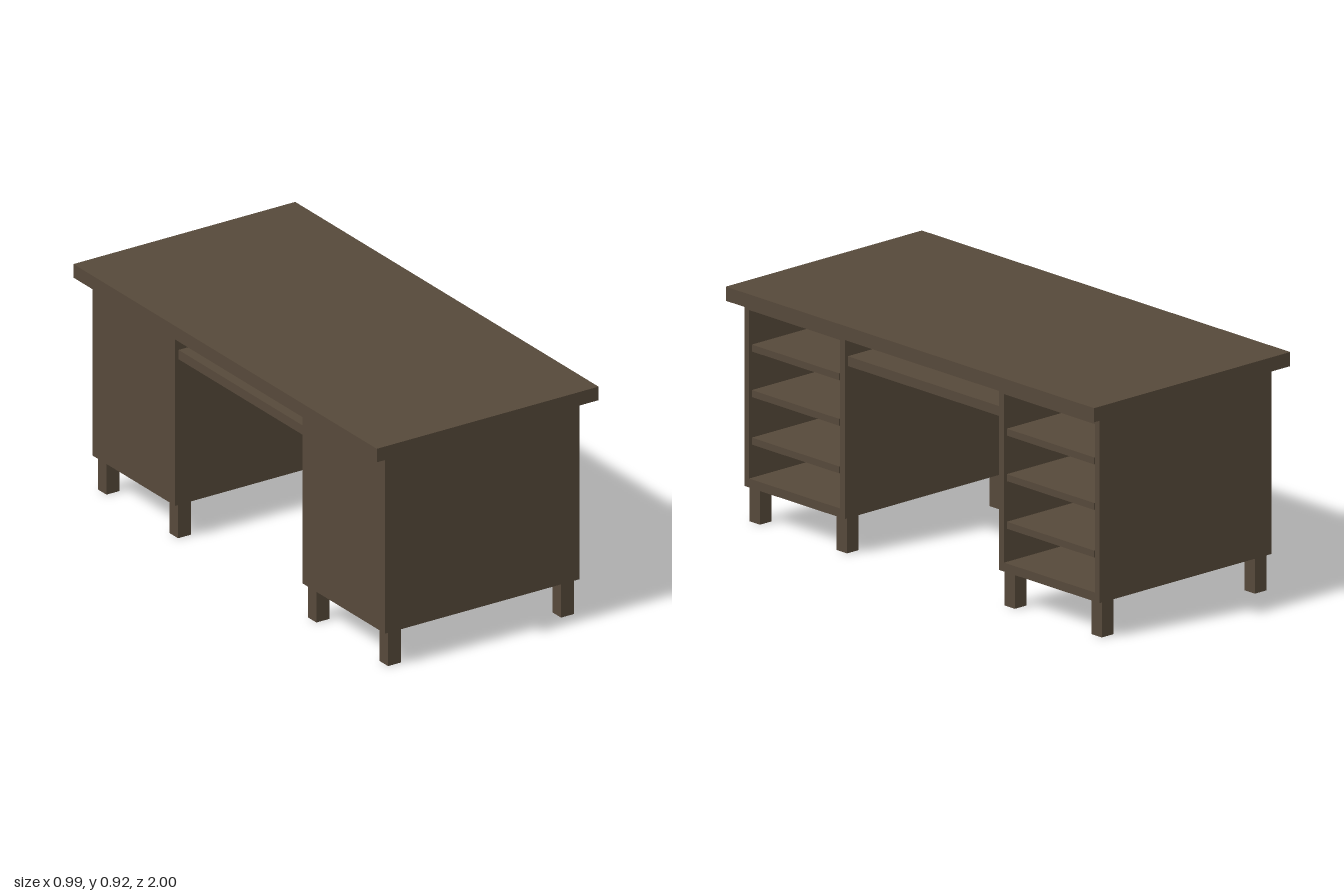
import * as THREE from 'three';

const wood = new THREE.MeshStandardMaterial({ color: 0x56493a });
wood.name = 'dark brown wood';

// Box given by its limits on each axis
function slab(name, [x0, x1], [y0, y1], [z0, z1]) {
  const mesh = new THREE.Mesh(new THREE.BoxGeometry(x1 - x0, y1 - y0, z1 - z0), wood);
  mesh.name = name;
  mesh.position.set((x0 + x1) / 2, (y0 + y1) / 2, (z0 + z1) / 2);
  return mesh;
}

// Hollow cabinet open toward +x, with shelves and four legs
function pedestal(name) {
  const g = new THREE.Group();
  g.name = name;
  const depth = 0.87, back = 0.025, halfW = 0.273, y0 = 0.14, y1 = 0.865;

  // Rectangular ring swept along x makes the four walls
  const ring = new THREE.Shape();
  ring.moveTo(-halfW, y0).lineTo(halfW, y0).lineTo(halfW, y1).lineTo(-halfW, y1).closePath();
  const hole = new THREE.Path();
  hole.moveTo(-0.246, 0.175).lineTo(-0.246, 0.83).lineTo(0.246, 0.83).lineTo(0.246, 0.175).closePath();
  ring.holes.push(hole);
  const shell = new THREE.Mesh(
    new THREE.ExtrudeGeometry(ring, { depth, bevelEnabled: false }).rotateY(Math.PI / 2), wood);
  shell.name = 'cabinetShell';
  shell.position.x = -depth / 2;
  g.add(shell);

  // Panel closing the back of the cavity
  g.add(slab('backPanel', [-0.435, -0.435 + back], [0.175, 0.83], [-0.246, 0.246]));

  // Shelves
  for (const y of [0.308, 0.493, 0.67])
    g.add(slab('shelf', [-0.41, 0.43], [y, y + 0.027], [-0.237, 0.237]));

  // Legs
  for (const sx of [-1, 1]) for (const sz of [-1, 1]) {
    const leg = slab('leg', [-0.029, 0.029], [0, 0.14], [-0.028, 0.028]);
    leg.position.x = sx * 0.387;
    leg.position.z = sz * 0.236;
    g.add(leg);
  }
  return g;
}

export function createModel() {
  const desk = new THREE.Group();
  desk.name = 'desk';
  desk.add(slab('tabletop', [-0.496, 0.496], [0.865, 0.92], [-1, 1]));
  desk.add(slab('tray', [-0.42, 0.42], [0.732, 0.77], [-0.42, 0.42]));
  for (const side of [-1, 1]) {
    const p = pedestal(side > 0 ? 'frontPedestal' : 'backPedestal');
    p.position.z = side * 0.692;
    desk.add(p);
  }
  return desk;
}
